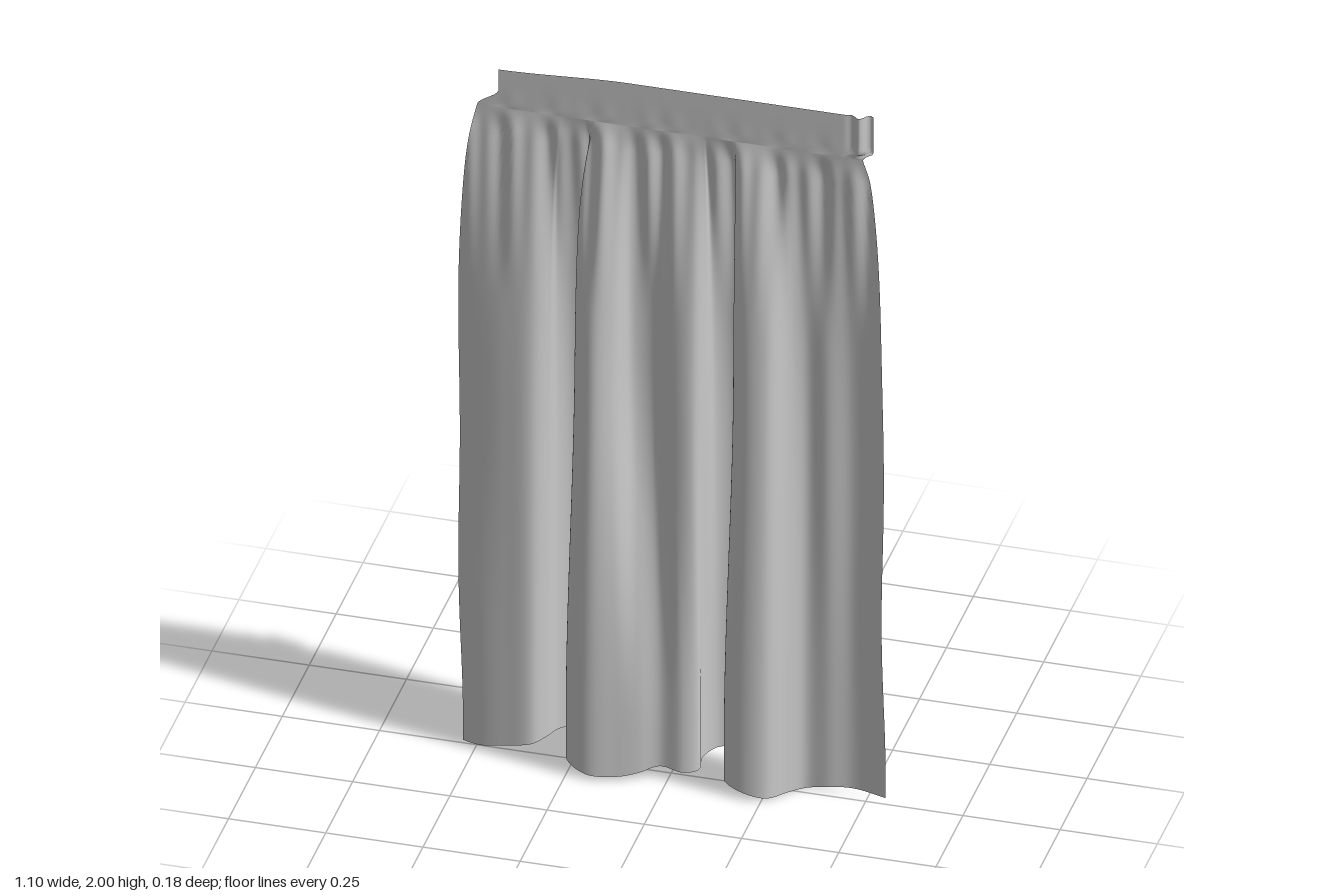
import * as THREE from 'three';

const TOP = 1.875; // height where the cloth is gathered into the heading

// Hem cross-section: x, height, z
const hem = [
  [-0.54, 0.015, 0.004], [-0.49, 0.02, 0.024], [-0.42, 0.035, 0.033], [-0.35, 0.05, 0.032],
  [-0.32, 0.058, 0.0], [-0.3, 0.06, -0.04], [-0.265, 0.055, -0.072], [-0.225, 0.05, -0.078],
  [-0.202, 0.05, -0.058], [-0.218, 0.045, -0.028], [-0.25, 0.04, 0.005], [-0.261, 0.035, 0.035],
  [-0.24, 0.03, 0.068], [-0.19, 0.018, 0.086], [-0.12, 0.015, 0.07], [-0.07, 0.025, 0.054],
  [-0.02, 0.04, 0.032], [0.04, 0.033, 0.036], [0.075, 0.035, 0.015], [0.072, 0.042, -0.035],
  [0.1, 0.05, -0.078], [0.145, 0.05, -0.09], [0.176, 0.048, -0.07], [0.175, 0.045, -0.03],
  [0.148, 0.04, 0.01], [0.15, 0.035, 0.048], [0.2, 0.025, 0.074], [0.26, 0.012, 0.066],
  [0.305, 0.005, 0.01], [0.34, 0.005, -0.02], [0.4, 0.018, -0.02], [0.46, 0.02, -0.026],
  [0.545, 0.02, -0.003],
];

// Cross-section at half height: x, z
const mid = [
  [-0.547, 0.002], [-0.49, 0.02], [-0.42, 0.034], [-0.35, 0.034],
  [-0.315, 0.0], [-0.3, -0.045], [-0.27, -0.078], [-0.23, -0.085],
  [-0.202, -0.06], [-0.215, -0.028], [-0.236, 0.005], [-0.24, 0.035],
  [-0.22, 0.07], [-0.18, 0.085], [-0.135, 0.055], [-0.1, -0.015],
  [-0.05, -0.025], [0.005, 0.034], [0.065, 0.038], [0.09, 0.0],
  [0.1, -0.06], [0.14, -0.09], [0.18, -0.08], [0.186, -0.035],
  [0.168, 0.01], [0.172, 0.045], [0.21, 0.074], [0.265, 0.068],
  [0.305, 0.01], [0.345, -0.025], [0.4, -0.015], [0.46, -0.03],
  [0.543, -0.003],
];

// Gathered section: the same points spread out so that nothing overlaps
const gatherX = mid.map((p) => p[0]).sort((a, b) => a - b).map((x) => x * 0.91);

const curve = (points) => new THREE.CatmullRomCurve3(points.map((p) => new THREE.Vector3(...p)));
const hemCurve = curve(hem);
const midCurve = curve(mid.map(([x, z]) => [x, 0, z]));
const gatherCurve = curve(gatherX.map((x) => [x, 0, 0]));
const smooth = THREE.MathUtils.smoothstep;

// Grid surface from a rule point(u, v), u to the right and v upwards
function sheet(name, nu, nv, point) {
  const pos = [], index = [];
  for (let j = 0; j <= nv; j++)
    for (let i = 0; i <= nu; i++) pos.push(...point(i / nu, j / nv));
  for (let j = 0; j < nv; j++)
    for (let i = 0; i < nu; i++) {
      const a = j * (nu + 1) + i, b = a + 1, c = a + nu + 1, d = c + 1;
      index.push(a, b, d, a, d, c);
    }
  const geo = new THREE.BufferGeometry();
  geo.setAttribute('position', new THREE.Float32BufferAttribute(pos, 3));
  geo.setIndex(index);
  geo.computeVertexNormals();
  const mesh = new THREE.Mesh(geo,
    new THREE.MeshStandardMaterial({ color: 0xcccccc, side: THREE.DoubleSide }));
  mesh.name = name;
  return mesh;
}

// Irregular small pleats under the heading
const pleats = (x) => 0.6 * Math.sin(x * 62 + 1.5 * Math.sin(x * 9)) + 0.4 * Math.sin(x * 107 + 1);

function drape(u, v) {
  const h = hemCurve.getPoint(u), m = midCurve.getPoint(u), g = gatherCurve.getPoint(u);
  const rise = 1 - (1 - v) ** 1.4; // rows are closer together near the top
  const y = h.y + (TOP - h.y) * rise;
  const t = y / TOP;
  const p = h.lerp(m, smooth(y, 0.15, 1.2));
  const x = THREE.MathUtils.lerp(p.x, g.x, t ** 10);
  const edge = 0.006 * Math.sin(y * 7 + 1) * smooth(Math.abs(x), 0.4, 0.55);
  const depth = 1 - t ** (p.z > 0 ? 5 : 2.5);
  const gather = smooth(y, 1.3, 1.8) * (1 - smooth(y, 1.8, TOP));
  return [x + edge * (1 - t), y, p.z * depth + 0.011 * gather * pleats(x) + 0.005 * t ** 6];
}

// Flat heading band, narrowed at its left end and tucked at its right end
function heading(u, v) {
  const left = -0.498 + 0.055 * smooth(v, 0, 0.45);
  const right = 0.494 + 0.026 * smooth(v, 0.02, 0.15);
  const x = THREE.MathUtils.lerp(left, right, u);
  const top = 1.985 + 0.015 * smooth(x, -0.45, -0.1);
  const ripple = 0.004 * pleats(x) * v * (1 - v) ** 6 * 6;
  const tuck = 0.012 * smooth(x, 0.44, 0.5) * Math.sin(x * 120) * smooth(v, 0, 0.2);
  return [x, TOP + (top - TOP) * v, 0.005 + ripple + tuck];
}

export function createModel() {
  const group = new THREE.Group();
  group.name = 'curtain';
  group.add(sheet('drapedCloth', 256, 72, drape));
  group.add(sheet('headingBand', 160, 16, heading));
  return group;
}
